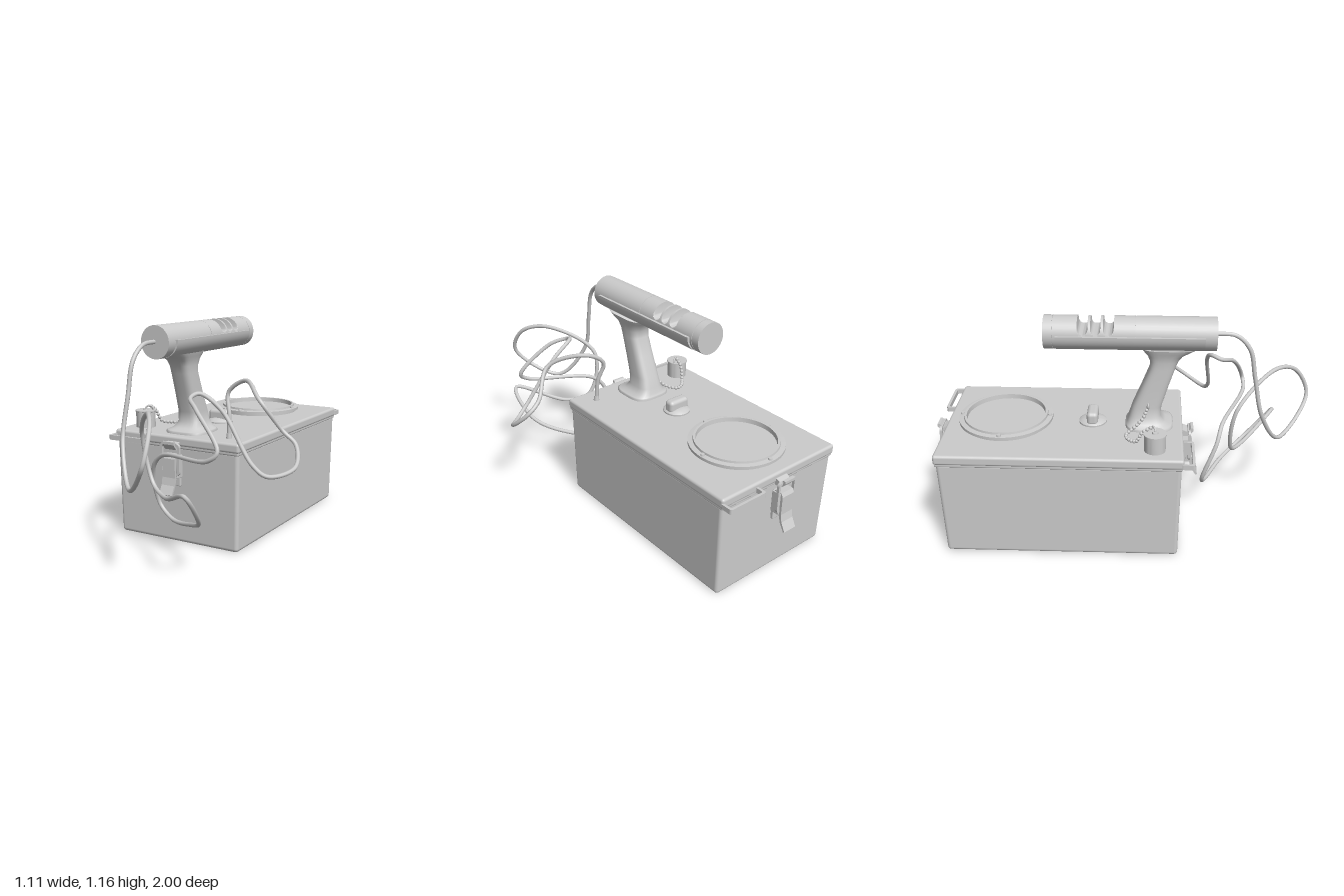
import * as THREE from 'three';
import { toCreasedNormals } from 'three/addons/utils/BufferGeometryUtils.js';
import { RoundedBoxGeometry } from 'three/addons/geometries/RoundedBoxGeometry.js';

const CX = -0.175; // centre line of the case
const grey = new THREE.MeshStandardMaterial({ color: 0xcccccc });
const greyThin = new THREE.MeshStandardMaterial({ color: 0xcccccc, side: THREE.DoubleSide });

function add(parent, name, geo, x = 0, y = 0, z = 0, mat = grey) {
  const m = new THREE.Mesh(geo, mat);
  m.name = name;
  m.position.set(x, y, z);
  parent.add(m);
  return m;
}

const rbox = (w, h, d, r) => new RoundedBoxGeometry(w, h, d, 3, r);
const cyl = (r, h, r2 = r, n = 32) => new THREE.CylinderGeometry(r2, r, h, n);
const lathe = (pts, n = 64) =>
  toCreasedNormals(new THREE.LatheGeometry(pts.map(p => new THREE.Vector2(...p)), n), 0.6);
const curve = pts => new THREE.CatmullRomCurve3(pts.map(p => new THREE.Vector3(...p)));

function roundRect(path, w, h, r) {
  path.moveTo(-w / 2 + r, -h / 2);
  path.absarc(w / 2 - r, -h / 2 + r, r, -Math.PI / 2, 0);
  path.absarc(w / 2 - r, h / 2 - r, r, 0, Math.PI / 2);
  path.absarc(-w / 2 + r, h / 2 - r, r, Math.PI / 2, Math.PI);
  path.absarc(-w / 2 + r, -h / 2 + r, r, Math.PI, Math.PI * 1.5);
  return path;
}

// Flat rectangular ring in the xy plane
function frame(w, h, bar, depth, r) {
  const s = roundRect(new THREE.Shape(), w, h, r);
  s.holes.push(roundRect(new THREE.Path(), w - 2 * bar, h - 2 * bar, r * 0.6));
  return new THREE.ExtrudeGeometry(s, { depth, bevelEnabled: false, curveSegments: 6 }).translate(0, 0, -depth / 2);
}

// Side profile given as [z, y], extruded across x
function sideProfile(pts, w) {
  const s = new THREE.Shape(pts.map(p => new THREE.Vector2(...p)));
  return new THREE.ExtrudeGeometry(s, { depth: w, bevelEnabled: false }).rotateY(-Math.PI / 2).translate(w / 2, 0, 0);
}

// Loft of rounded sections [y, z0, z1, halfWidth]
function loft(rows, n = 32) {
  const pos = [], idx = [];
  const soft = v => Math.sign(v) * Math.abs(v) ** 0.6;
  rows.forEach(([y, z0, z1, hw], j) => {
    for (let i = 0; i < n; i++) {
      const a = i / n * Math.PI * 2;
      pos.push(soft(Math.cos(a)) * hw, y, (z0 + z1) / 2 + soft(Math.sin(a)) * (z1 - z0) / 2);
      if (j < rows.length - 1) {
        const p = j * n + i, q = j * n + (i + 1) % n;
        idx.push(p, p + n, q, q, p + n, q + n);
      }
    }
  });
  const g = new THREE.BufferGeometry();
  g.setAttribute('position', new THREE.Float32BufferAttribute(pos, 3));
  g.setIndex(idx);
  g.computeVertexNormals();
  return g;
}

function buildCase(g) {
  // Tub narrows slightly to the bottom
  const tub = rbox(0.755, 0.53, 1.2, 0.02);
  const p = tub.attributes.position;
  for (let i = 0; i < p.count; i++) {
    const k = 1 - 0.025 * (0.265 - p.getY(i)) / 0.53;
    p.setX(i, p.getX(i) * k);
    p.setZ(i, p.getZ(i) * (1 + k) / 2);
  }
  add(g, 'caseBody', tub, CX, 0.265, -0.315);
  add(g, 'lid', rbox(0.77, 0.052, 1.22, 0.014), CX, 0.552, -0.315);
  add(g, 'lidLip', rbox(0.76, 0.04, 1.21, 0.008), CX, 0.533, -0.315);
  // Strap loops at opposite corners
  const strap = frame(0.228, 0.07, 0.013, 0.026, 0.012).rotateX(Math.PI / 2);
  add(g, 'strapLoopFront', strap, -0.447, 0.543, 0.315);
  add(g, 'strapLoopBack', strap, 0.097, 0.543, -0.945);
}

function buildLatch() {
  const l = new THREE.Group();
  l.name = 'latch';
  add(l, 'latchPlate', rbox(0.075, 0.17, 0.016, 0.004), 0, 0.4, 0.004);
  add(l, 'latchCatch', sideProfile([[0, 0.515], [0.04, 0.515], [0.065, 0.545], [0.065, 0.56], [0.052, 0.56], [0.035, 0.54], [0, 0.555]], 0.07));
  add(l, 'latchBail', frame(0.12, 0.17, 0.013, 0.014, 0.02), 0, 0.465, 0.045);
  add(l, 'latchLever', sideProfile([[0.01, 0.49], [0.052, 0.49], [0.062, 0.47], [0.062, 0.37], [0.07, 0.33],
    [0.094, 0.285], [0.086, 0.28], [0.06, 0.325], [0.048, 0.365], [0.01, 0.38]], 0.078));
  for (const s of [-1, 1]) add(l, 'latchCheek', rbox(0.008, 0.12, 0.05, 0.003), s * 0.042, 0.425, 0.025);
  const pin = add(l, 'latchPin', cyl(0.01, 0.11, 0.01, 12), 0, 0.39, 0.04);
  pin.rotation.z = Math.PI / 2;
  return l;
}

function buildWindow(g) {
  const w = new THREE.Group();
  w.name = 'roundWindow';
  w.position.set(CX + 0.002, 0.575, -0.622);
  g.add(w);
  add(w, 'windowFlange', lathe([[0, 0], [0.228, 0], [0.228, 0.015], [0.243, 0.015], [0.243, 0.03], [0.218, 0.033],
    [0.216, 0.044], [0.204, 0.044], [0.202, 0.02], [0, 0.02]]));
  for (let i = 0; i < 4; i++) {
    const a = i * Math.PI / 2;
    add(w, 'windowScrew', cyl(0.012, 0.012, 0.01, 12), 0.228 * Math.cos(a), 0.034, 0.228 * Math.sin(a));
  }
}

function buildHandle(g) {
  const h = new THREE.Group();
  h.name = 'handle';
  h.position.x = CX;
  g.add(h);
  add(h, 'handleGrip', loft([[0.57, 0, 0.245, 0.118], [0.588, 0, 0.245, 0.118], [0.592, 0.004, 0.238, 0.112],
    [0.605, 0.01, 0.205, 0.088], [0.635, 0.02, 0.18, 0.07], [0.69, 0.037, 0.185, 0.064], [0.8, 0.083, 0.218, 0.061],
    [0.9, 0.122, 0.25, 0.06], [0.94, 0.12, 0.265, 0.061], [0.97, 0.107, 0.288, 0.066], [0.99, 0.09, 0.325, 0.074],
    [1.01, 0.075, 0.36, 0.08]]), 0, 0, 0, greyThin);
  // Shallow cradle under the torch
  const arc = [];
  for (let i = 0; i <= 24; i++) {
    const a = Math.PI * (1 + i / 24);
    arc.push(new THREE.Vector2(0.097 * Math.cos(a), 1.087 + 0.094 * Math.sin(a)));
  }
  const cradle = new THREE.ExtrudeGeometry(new THREE.Shape(arc), { depth: 0.728, bevelEnabled: false });
  add(h, 'cradle', toCreasedNormals(cradle, 0.5), 0, 0, -0.34);

  // Torch barrel in sections along z, joined by a thinner core in the seams
  const section = (name, z0, z1, r) => add(h, name, cyl(r, z1 - z0).rotateX(Math.PI / 2), 0, 1.077, (z0 + z1) / 2);
  section('barrelRear', 0.051, 0.447, 0.084);
  section('barrelSeam', 0.04, 0.06, 0.08);
  section('barrelMiddle', -0.055, 0.048, 0.084);
  section('barrelFront', -0.354, -0.235, 0.084);
  section('capSeam', -0.365, -0.345, 0.08);
  section('barrelCap', -0.402, -0.357, 0.084);
  // Slotted section: three round-bottomed cuts from above
  const slots = new THREE.CylinderGeometry(0.084, 0.084, 0.18, 48, 72).rotateX(Math.PI / 2);
  const p = slots.attributes.position, hw = 0.025;
  for (let i = 0; i < p.count; i++) {
    for (const c of [-0.063, 0, 0.063]) {
      const d = Math.abs(p.getZ(i) - c);
      if (d < hw) p.setY(i, Math.min(p.getY(i), 0.04 - Math.sqrt(hw * hw - d * d)));
    }
  }
  add(h, 'barrelSlots', toCreasedNormals(slots, 0.6), 0, 1.077, -0.145);
}

function buildFittings(g) {
  // Turn knob
  add(g, 'knobBase', lathe([[0, 0], [0.072, 0], [0.072, 0.012], [0.055, 0.024], [0.03, 0.03], [0, 0.03]], 40), CX, 0.574, -0.17);
  add(g, 'knobGrip', rbox(0.125, 0.07, 0.058, 0.02), CX, 0.615, -0.17);

  // Filler cap with ring
  add(g, 'fillerCap', lathe([[0.053, 0], [0.053, 0.088], [0.057, 0.09], [0.057, 0.096], [0.016, 0.096], [0.014, 0.104], [0, 0.104]], 32), -0.457, 0.575, 0.153);
  const eye = add(g, 'capRing', new THREE.TorusGeometry(0.02, 0.005, 8, 20), -0.437, 0.675, 0.145);
  eye.rotation.y = 0.5;

  // Bead chain from the cap to the grip
  const chain = curve([[-0.437, 0.69, 0.13], [-0.432, 0.66, 0.09], [-0.415, 0.6, 0.06], [-0.37, 0.588, 0.015],
    [-0.33, 0.588, 0.008], [-0.28, 0.605, 0.05], [-0.255, 0.64, 0.09], [-0.25, 0.705, 0.115]]);
  const bead = new THREE.SphereGeometry(0.0095, 10, 8);
  for (const q of chain.getSpacedPoints(22)) add(g, 'chainBead', bead, q.x, q.y, q.z);
  add(g, 'chainLink', new THREE.TubeGeometry(chain, 80, 0.003, 5), 0, 0, 0, greyThin);
  add(g, 'chainRing', new THREE.TorusGeometry(0.014, 0.004, 8, 20), -0.25, 0.71, 0.118);
}

function buildCable(g) {
  // Hangs from the barrel, loops three times and ends on the lid
  const path = curve([
    [-0.18, 1.08, 0.43], [-0.18, 1.07, 0.545], [-0.185, 1.0, 0.615], [-0.19, 0.845, 0.65], [-0.19, 0.63, 0.7],
    [-0.07, 0.44, 0.82], [0.13, 0.6, 0.982], [0.12, 0.75, 0.91], [0.02, 0.795, 0.78], [-0.17, 0.65, 0.575],
    [-0.12, 0.4, 0.56], [0, 0.36, 0.63], [0.24, 0.445, 0.82], [0.22, 0.29, 0.68], [0.08, 0.21, 0.53],
    [-0.1, 0.183, 0.43], [-0.19, 0.25, 0.41], [-0.175, 0.45, 0.48], [-0.1, 0.53, 0.51], [0.25, 0.575, 0.65],
    [0.3, 0.62, 0.645], [0.14, 0.79, 0.57], [0.065, 0.83, 0.5], [0.085, 0.845, 0.45], [0.2, 0.77, 0.435],
    [0.38, 0.53, 0.46], [0.45, 0.48, 0.44], [0.54, 0.51, 0.34], [0.5, 0.6, 0.245], [0.43, 0.66, 0.245],
    [0.33, 0.81, 0.3], [0.18, 0.88, 0.17], [0.07, 0.81, 0.153], [0.09, 0.7, 0.18], [0.095, 0.57, 0.19]]);
  add(g, 'cable', new THREE.TubeGeometry(path, 420, 0.011, 8), 0, 0, 0, greyThin);
  add(g, 'cableSocket', cyl(0.016, 0.03, 0.013, 16), 0.095, 0.59, 0.19);
}

export function createModel() {
  const g = new THREE.Group();
  g.name = 'cordedLampCase';
  buildCase(g);
  buildWindow(g);
  buildHandle(g);
  buildFittings(g);
  buildCable(g);
  // Latches on both short ends
  const front = buildLatch(), back = buildLatch();
  front.position.set(CX, 0, 0.287);
  back.position.set(CX, 0, -0.917);
  back.rotation.y = Math.PI;
  g.add(front, back);
  return g;
}
